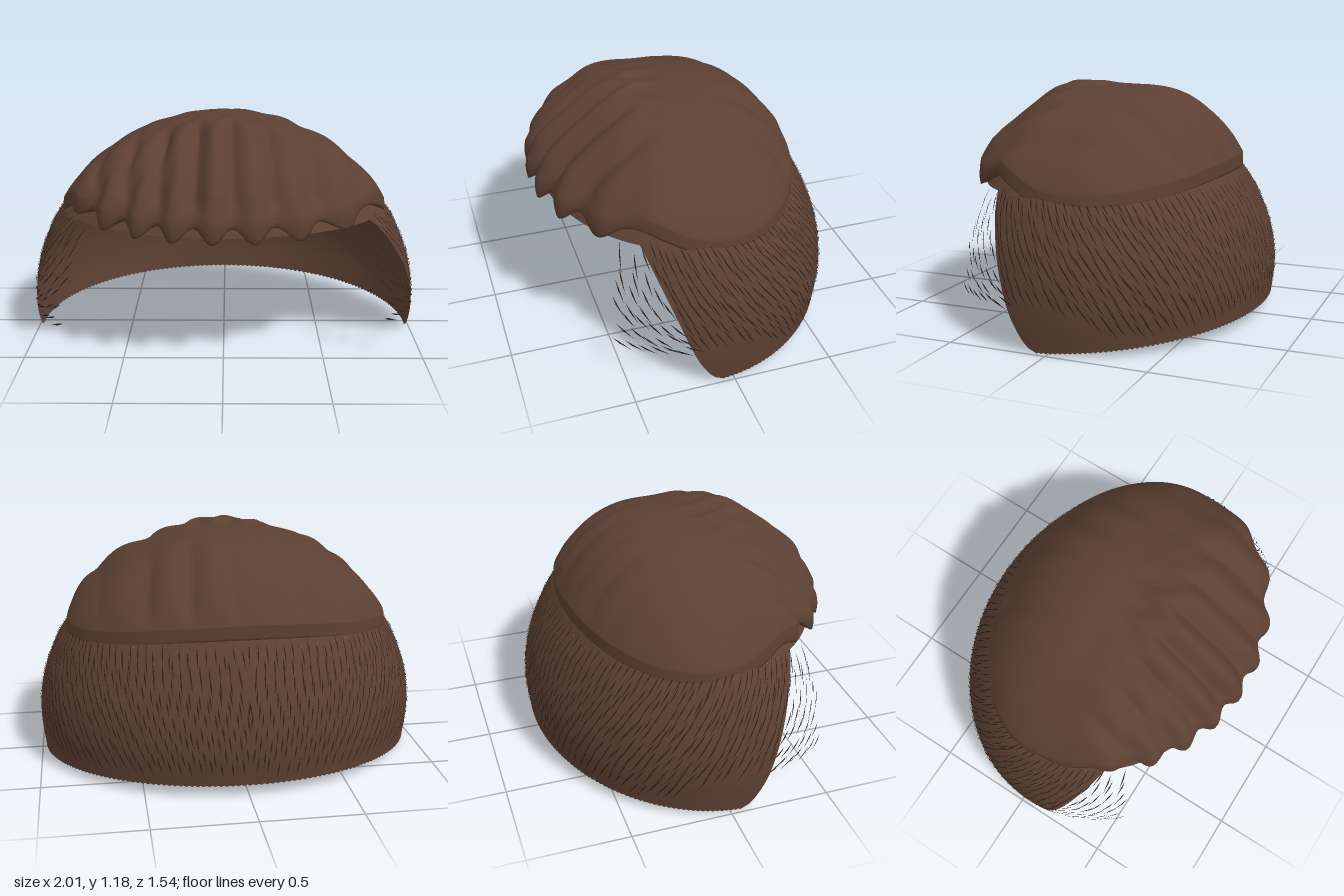
import * as THREE from 'three';
import { mergeVertices } from 'three/addons/utils/BufferGeometryUtils.js';

const CZ = 0.05;   // z of the head's centre
const BROW = 0.695; // height of the front hairline
const { sin, cos, abs, min, max, sqrt, PI } = Math;
const lerp = THREE.MathUtils.lerp;
const smooth = THREE.MathUtils.smoothstep;

// Smooth look-up in a short table of [key, value] pairs
function table(points) {
  return (k) => {
    if (k <= points[0][0]) return points[0][1];
    for (let i = 1; i < points.length; i++) {
      const [k0, v0] = points[i - 1], [k1, v1] = points[i];
      if (k <= k1) {
        const m = (p, q) => (p && q ? (q[1] - p[1]) / (q[0] - p[0]) : 0);
        const m0 = m(points[i - 2] || points[i - 1], points[i]);
        const m1 = m(points[i - 1], points[i + 1] || points[i]);
        const h = k1 - k0, t = (k - k0) / h, t2 = t * t, t3 = t2 * t;
        return (2 * t3 - 3 * t2 + 1) * v0 + (t3 - 2 * t2 + t) * h * m0
          + (3 * t2 - 2 * t3) * v1 + (t3 - t2) * h * m1;
      }
    }
    return points[points.length - 1][1];
  };
}

// Surface from a grid of points, f(u, v) -> [x, y, z]
function gridSurface(nu, nv, f) {
  const pos = [], index = [];
  for (let i = 0; i <= nu; i++)
    for (let j = 0; j <= nv; j++) pos.push(...f(i / nu, j / nv, i, j));
  for (let i = 0; i < nu; i++)
    for (let j = 0; j < nv; j++) {
      const a = i * (nv + 1) + j, b = a + nv + 1;
      index.push(a, b, a + 1, b, b + 1, a + 1);
    }
  let g = new THREE.BufferGeometry();
  g.setAttribute('position', new THREE.Float32BufferAttribute(pos, 3));
  g.setIndex(index);
  g = mergeVertices(g, 1e-5);
  g.computeVertexNormals();
  return g;
}

// Head form: half width, half depth and side hairline by height
const halfWidth = table([[0, 0.98], [0.2, 0.998], [0.4, 0.975], [0.6, 0.9], [0.7, 0.836], [0.78, 0.77]]);
const halfDepth = table([[0, 0.8], [0.2, 0.815], [0.4, 0.785], [0.6, 0.71], [0.7, 0.65], [0.78, 0.59]]);
const hairline = table([[0, 0.05], [0.03, 0.1], [0.1, 0.15], [0.2, 0.2], [0.4, 0.275], [0.6, 0.35], [0.78, 0.42]]);
const angleAt = (z, y) => Math.asin(min(0.99, (z - CZ) / halfDepth(y)));

function sidePoint(a, y, off = 0) {
  const z = CZ + (halfDepth(y) + off) * sin(a);
  const tilt = 0.075 * (CZ - z) * max(0, 1 - y / BROW);
  return [(halfWidth(y) + off) * cos(a), y + tilt, z];
}

function croppedSides() {
  return gridSurface(220, 26, (u, v, i, j) => {
    let y = 0.005 + (BROW - 0.005) * v;
    const a0 = angleAt(hairline(y - 0.005), y);
    if (j === 0) y += 0.008 * (i % 2);
    return sidePoint(lerp(a0, -PI - a0, u), y);
  });
}

// Hollow crown closing the head above the front hairline
function crown() {
  const TOP = 1.08, BASE = 0.2;
  const e0 = Math.asin((BROW - BASE) / (TOP - BASE));
  return gridSurface(120, 18, (u, v) => {
    const a = -2 * PI * u, e = lerp(e0, PI / 2, v), k = cos(e) / cos(e0);
    return [halfWidth(BROW) * k * cos(a), BASE + (TOP - BASE) * sin(e), CZ * (1 - 0.5 * v) + halfDepth(BROW) * k * sin(a)];
  });
}

// Swept top: rim height by direction (-1 back, 0 side, 1 front)
const rimHeight = table([[-1, 0.74], [-0.8, 0.7], [-0.5, 0.665], [0, 0.65], [0.2, 0.675], [0.45, 0.755], [0.6, 0.745], [0.8, 0.72], [1, 0.71]]);
const lockPhase = (x) => (x + 0.05) / (0.19 + 0.035 * x); // whole numbers on the locks

function sweptTop() {
  const DOME = 0.8, SKIRT = 0.92; // share of rows for dome and rim edge
  return gridSurface(260, 50, (u, v) => {
    const a = u * 2 * PI, c = cos(a), s = sin(a);
    const front = smooth(s, 0.3, 0.75), side = c * c;
    const rimX = 0.84 * c, rimZ = (s > 0 ? 0.74 : 0.575) * s;
    const rim = rimHeight(s);
    const tip = cos(lockPhase(rimX) * 2 * PI) * front; // scalloped locks
    const rimLow = rim - 0.034 * tip, rimTop = rim + 0.07;
    const out = 1 + 0.028 * tip;

    if (v <= DOME) {
      const r = sin((v / DOME) * PI / 2);
      const [p, q] = s > 0 ? [2.3, 0.8] : [2.8, 1];
      const f = Math.pow(max(0, 1 - Math.pow(r, lerp(p, 2.2, side))), lerp(q, 0.85, side));
      const x = rimX * r, z = rimZ * r;
      // combed locks running from front to back
      const px = lerp(x, rimX, 0.3 * r), phase = lockPhase(px);
      const wave = abs(cos(phase * PI)) * 2 - 1.2;
      const broad = sin(px * 9 + 1) * 0.4 + sin(px * 23 + z * 3) * 0.35;
      const body = smooth(r, 0.15, 0.6) * (1 - 0.6 * side) * (1 - smooth(r, 0.9, 1));
      const amp = lerp(0.005 + 0.008 * smooth(x, 0, 0.4), 0.022, smooth(z, 0.1, 0.35));
      const d = (wave * amp + broad * 0.012) * body;
      // folded crest with a zigzag front
      const dz = z - 0.29 - 0.04 * cos(phase * 2 * PI);
      const crest = 0.045 * Math.exp(-((dz / (dz > 0 ? 0.14 : 0.11)) ** 2) - (x / 0.36) ** 2);
      const k = lerp(1, out, r ** 3);
      return [x * k + d * 0.5 * c, rimTop + (1.162 - rimTop) * f + crest + d, z * k + d * 0.8 * s * r];
    }
    if (v <= SKIRT) {
      const t = (v - DOME) / (SKIRT - DOME);
      const k = out * (1 + 0.008 * sin(PI * t) * front) + 0.012 * side * t;
      return [rimX * k, lerp(rimTop, rimLow, t), rimZ * k];
    }
    // underside of the rim, turned in to the crown
    const t = (v - SKIRT) / (1 - SKIRT);
    const k = lerp(out + 0.012 * side, 0.88, t);
    return [rimX * k, lerp(rimLow, max(rim, 0.73), smooth(t, 0, 0.9)), rimZ * k];
  });
}

// Fine tapered hairs lying on the cropped sides
function hairs(list) {
  const pos = [], index = [];
  for (const { side, a, y, da, dy, w } of list) {
    const n = pos.length / 3;
    const len = sqrt((da * 0.85) ** 2 + dy * dy);
    const wa = (w * -dy) / len, wy = (w * da * 0.85) / len;
    const add = (aa, yy, off) => {
      const p = sidePoint(aa, yy, off);
      pos.push(p[0] * side, p[1], p[2]);
    };
    add(a, y, 0.003);
    add(a + da * 0.4 + wa, y + dy * 0.4 + wy, 0.006);
    add(a + da * 0.4 - wa, y + dy * 0.4 - wy, 0.006);
    add(a + da, y + dy, 0.007);
    if (side > 0) index.push(n, n + 1, n + 2, n + 1, n + 3, n + 2);
    else index.push(n, n + 2, n + 1, n + 1, n + 2, n + 3);
  }
  const g = new THREE.BufferGeometry();
  g.setAttribute('position', new THREE.Float32BufferAttribute(pos, 3));
  g.setIndex(index);
  g.computeVertexNormals();
  return g;
}

function hairLists() {
  let seed = 7;
  const rnd = () => (seed = (seed * 16807) % 2147483647) / 2147483647;
  const cropped = [], temple = [];
  for (const side of [1, -1]) {
    for (let row = 0; row < 10; row++) {
      const y0 = 0.16 + row * 0.061;
      // over the sides and back
      for (let a = angleAt(hairline(y0), y0) - 0.03; a > -PI / 2; a -= 0.052) {
        const y = y0 + (rnd() - 0.5) * 0.04;
        const back = smooth(-a, 0.3, 1.5);
        if (y < 0.29 - 0.2 * smooth(-a, 0, 0.6)) continue;
        cropped.push({ side, a, y, da: lerp(-0.08, -0.012, back), dy: -0.1, w: 0.0042 });
      }
    }
    // loose hairs in front of the ears
    for (let row = 0; row < 7; row++) {
      const y0 = 0.25 + row * 0.073, t = row / 6;
      const zEnd = lerp(0.58, 0.49, t);
      for (let z = hairline(y0) + 0.03; z < zEnd; z += 0.05) {
        const y = y0 + (rnd() - 0.5) * 0.04;
        temple.push({ side, a: angleAt(z, y), y, da: lerp(-0.12, -0.05, t), dy: lerp(-0.04, -0.12, t), w: 0.0045 });
      }
    }
  }
  return { cropped, temple };
}

export function createModel() {
  const hairBrown = new THREE.MeshStandardMaterial({ color: 0x5c4033, side: THREE.DoubleSide });
  const strandBrown = new THREE.MeshStandardMaterial({ color: 0x2f2019, side: THREE.DoubleSide });
  hairBrown.name = 'hairBrown';
  strandBrown.name = 'strandBrown';

  const group = new THREE.Group();
  group.name = 'hairstyle';
  const add = (name, geometry, material) => {
    const mesh = new THREE.Mesh(geometry, material);
    mesh.name = name;
    group.add(mesh);
  };
  const lists = hairLists();
  add('croppedSides', croppedSides(), hairBrown);
  add('crown', crown(), hairBrown);
  add('sweptTop', sweptTop(), hairBrown);
  add('croppedHairs', hairs(lists.cropped), strandBrown);
  add('templeHairs', hairs(lists.temple), strandBrown);
  return group;
}
